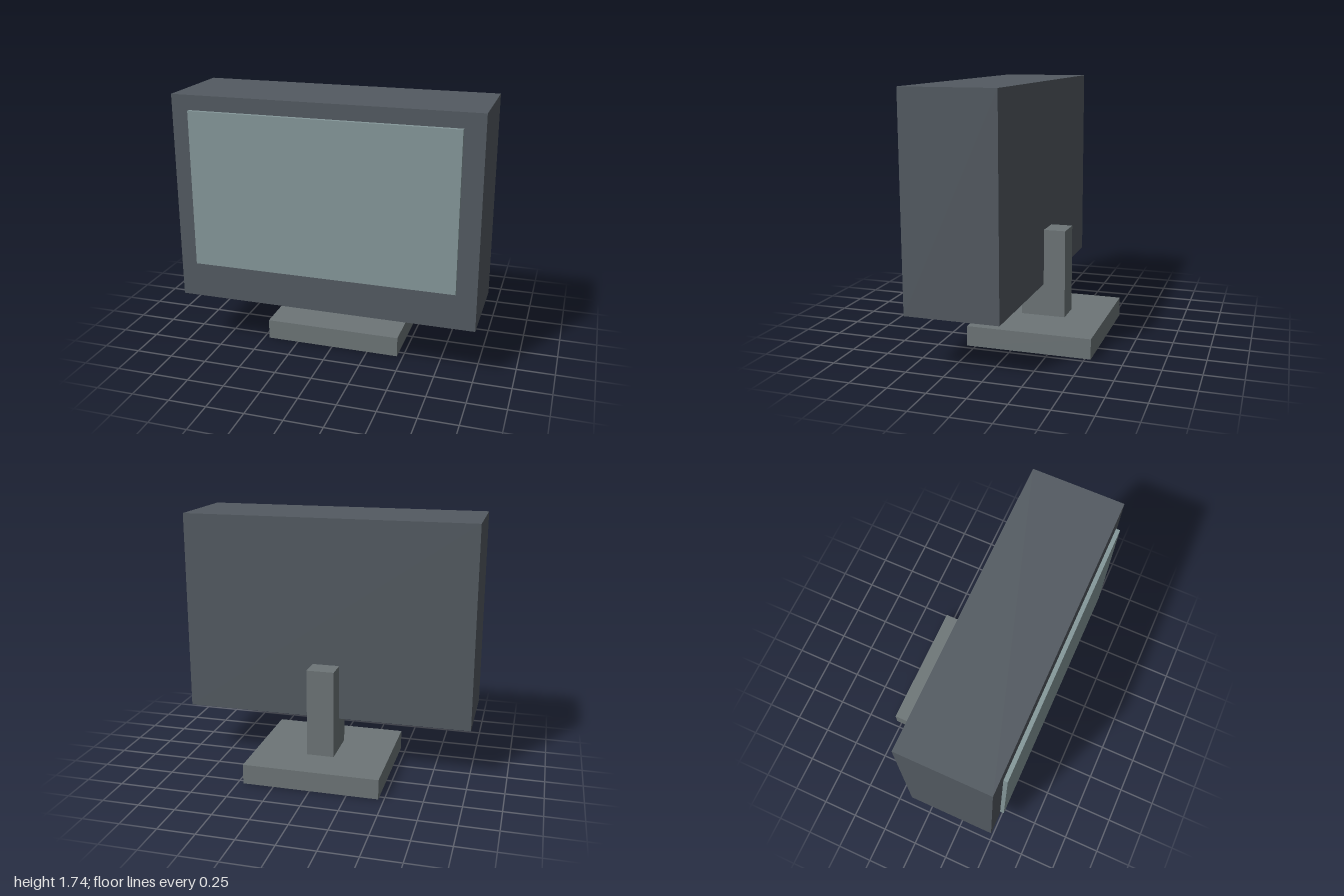
import * as THREE from 'three';

// Adds a box spanning the given [min, max] ranges.
function addBox(group, name, color, x, y, z) {
  const mid = ([a, b]) => (a + b) / 2;
  const mesh = new THREE.Mesh(
    new THREE.BoxGeometry(x[1] - x[0], y[1] - y[0], z[1] - z[0]),
    new THREE.MeshStandardMaterial({ color })
  );
  mesh.name = name;
  mesh.position.set(mid(x), mid(y), mid(z));
  group.add(mesh);
}

export function createModel() {
  const group = new THREE.Group();
  group.name = 'monitor';
  const housingColor = 0x535a61, screenColor = 0x85989a, standColor = 0x6d7577;

  // Deep display housing
  addBox(group, 'housing', housingColor, [-1, 1], [0.36, 1.741], [-0.115, 0.502]);
  // Thin screen panel standing just clear of the housing's front
  addBox(group, 'screen', screenColor, [-0.875, 0.872], [0.609, 1.646], [0.511, 0.538]);
  // Stand: neck running up into the back of the housing, on a flat foot
  addBox(group, 'standNeck', standColor, [-0.095, 0.093], [0.136, 0.742], [-0.265, 0.041]);
  addBox(group, 'standFoot', standColor, [-0.463, 0.461], [0, 0.136], [-0.538, 0.309]);

  return group;
}
